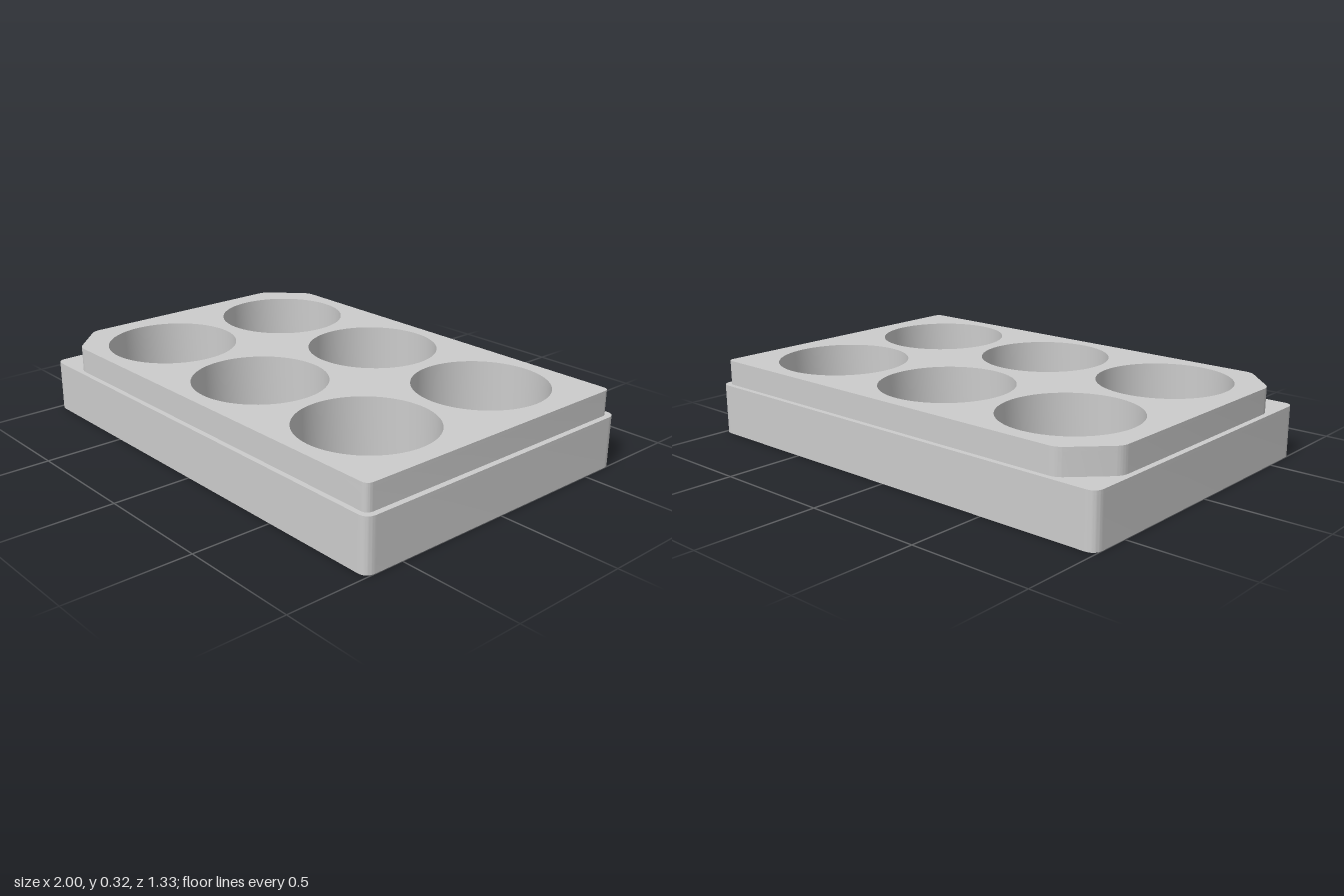
import * as THREE from 'three';
import { toCreasedNormals } from 'three/addons/utils/BufferGeometryUtils.js';

const WALL = 0.015;
const LEDGE_Y = 0.215, TOP_Y = 0.32;
const WELL_R = 0.275, WELL_OUTER = 0.283, WELL_BASE = 0.045;
const SEGMENTS = 64;

const material = new THREE.MeshStandardMaterial({ color: 0xcccccc });

// Trace a polygon with every corner rounded by radius r
function rounded(path, corners, r) {
  const pts = corners.map(([x, y]) => new THREE.Vector2(x, y));
  pts.forEach((p, i) => {
    const prev = pts[(i + pts.length - 1) % pts.length];
    const next = pts[(i + 1) % pts.length];
    const a = p.clone().add(prev.clone().sub(p).setLength(r));
    const b = p.clone().add(next.clone().sub(p).setLength(r));
    if (i === 0) path.moveTo(a.x, a.y);
    else path.lineTo(a.x, a.y);
    path.quadraticCurveTo(p.x, p.y, b.x, b.y);
  });
  path.closePath();
  return path;
}

// Rectangular footprint of the skirt, inset by d
function skirtOutline(path, d) {
  const x = 1 - d, z = 0.667 - d;
  return rounded(path, [[-x, -z], [x, -z], [x, z], [-x, z]], 0.045 - d);
}

// Footprint of the upper tier: two cut corners on the -x end
function tierOutline(path, d) {
  const x = 0.976 - d, z = 0.645 - d, c = 0.16 - 0.58 * d;
  return rounded(path, [
    [-x + c, -z], [x, -z], [x, z], [-x + c, z], [-x, z - c], [-x, -z + c],
  ], 0.03 - d);
}

// Extrude a footprint (x, z) upward between two heights
function slab(name, shape, y0, y1) {
  const geo = new THREE.ExtrudeGeometry(shape, {
    depth: y1 - y0, bevelEnabled: false, curveSegments: SEGMENTS / 4,
  });
  geo.rotateX(-Math.PI / 2).translate(0, y0, 0);
  const mesh = new THREE.Mesh(toCreasedNormals(geo, 0.5), material);
  mesh.name = name;
  return mesh;
}

function withHoles(shape, ...holes) {
  shape.holes.push(...holes);
  return shape;
}

export function createModel() {
  const plate = new THREE.Group();
  plate.name = 'sixWellPlate';

  const centres = [];
  for (const x of [-0.613, 0, 0.613]) {
    for (const z of [-0.307, 0.307]) centres.push([x, z]);
  }

  // Hollow skirt, ledge and upper wall
  plate.add(slab('skirt',
    withHoles(skirtOutline(new THREE.Shape(), 0), skirtOutline(new THREE.Path(), WALL)),
    0, LEDGE_Y - WALL));
  plate.add(slab('ledge',
    withHoles(skirtOutline(new THREE.Shape(), 0), tierOutline(new THREE.Path(), WALL)),
    LEDGE_Y - WALL, LEDGE_Y));
  plate.add(slab('upperWall',
    withHoles(tierOutline(new THREE.Shape(), 0), tierOutline(new THREE.Path(), WALL)),
    LEDGE_Y, TOP_Y - WALL));

  // Top deck pierced by the six wells
  const holes = centres.map(([x, z]) =>
    new THREE.Path().absarc(x, z, WELL_OUTER, 0, Math.PI * 2, true));
  const deck = withHoles(tierOutline(new THREE.Shape(), 0), ...holes);
  plate.add(slab('topDeck', deck, TOP_Y - WALL, TOP_Y));

  // Thin-walled cups with flat floors
  const profile = [
    [0, WELL_BASE], [WELL_OUTER, WELL_BASE], [WELL_OUTER, TOP_Y],
    [WELL_R, TOP_Y], [WELL_R, WELL_BASE + 0.01], [0, WELL_BASE + 0.01],
  ].map(([r, y]) => new THREE.Vector2(r, y));
  const cup = toCreasedNormals(new THREE.LatheGeometry(profile, SEGMENTS), 0.5);
  const wells = new THREE.Group();
  wells.name = 'wells';
  for (const [x, z] of centres) {
    const well = new THREE.Mesh(cup, material);
    well.name = 'well';
    well.position.set(x, 0, z);
    wells.add(well);
  }
  plate.add(wells);

  return plate;
}
